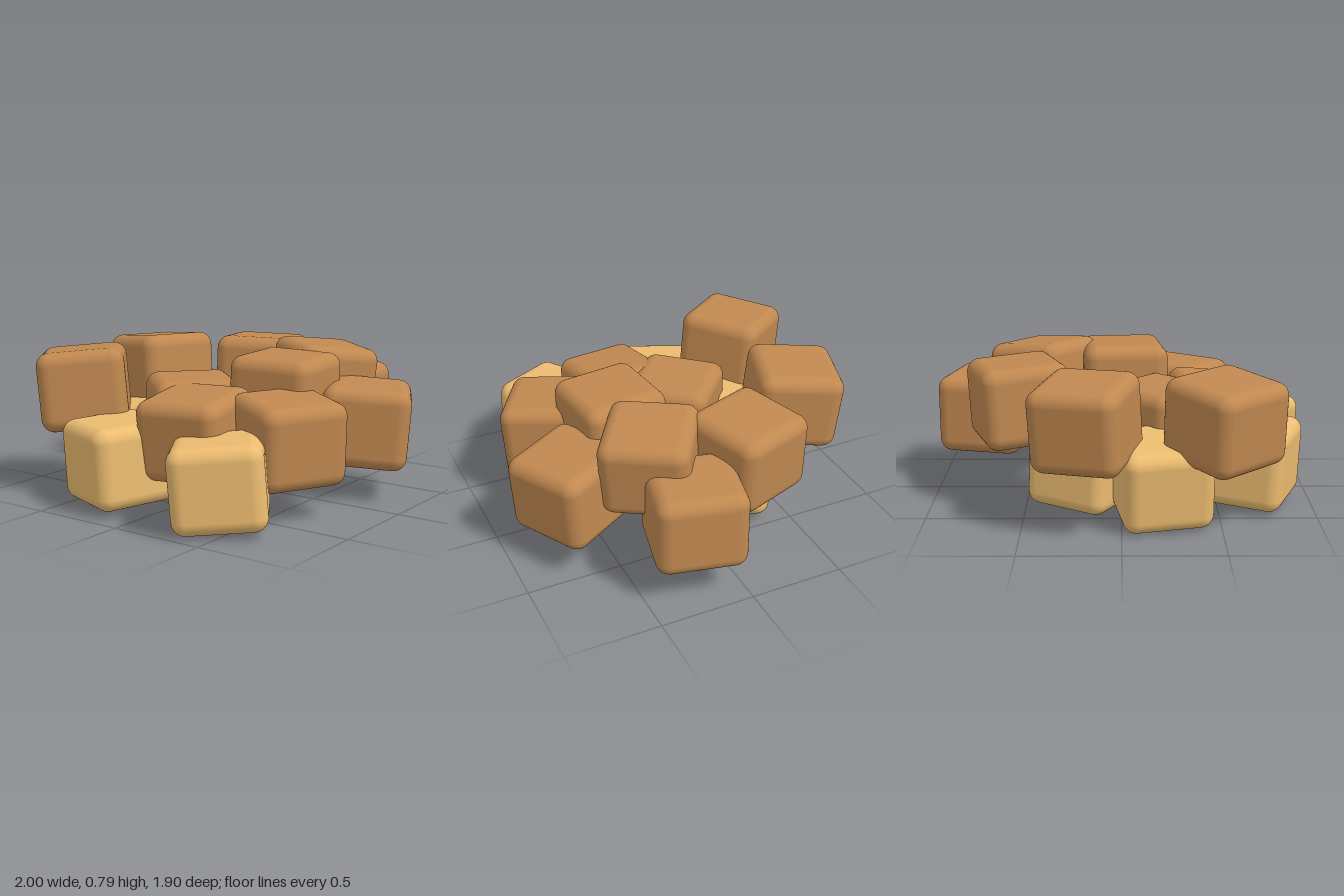
import * as THREE from 'three';
import { RoundedBoxGeometry } from 'three/addons/geometries/RoundedBoxGeometry.js';

// Each cube: x, y, z, yaw, pitch (about x), roll (about z), angles in degrees
const lowerCubes = [
  [-0.71, 0.24, 0.41, 33, -4, 2],
  [-0.67, 0.25, -0.25, -22, -2, 2],
  [-0.20, 0.24, -0.53, 11, -7, 0],
  [0.19, 0.24, -0.27, -29, 0, 2],
  [-0.06, 0.25, 0.03, 10, 0, -9],
];

const upperCubes = [
  // middle ring
  [0.735, 0.41, 0.20, -13, 0, 0],
  [0.25, 0.40, 0.66, 28, 4, -1],
  [-0.33, 0.40, 0.55, -30, 3, 3],
  [-0.50, 0.40, 0.11, 8, 0, 6],
  [-0.20, 0.42, -0.14, -42, 0, 0],
  // top layer
  [-0.505, 0.565, -0.64, 39, -5, 1],
  [0.175, 0.565, -0.66, -18, -5, -3],
  [0.535, 0.555, -0.19, 19, 0, -3],
  [-0.01, 0.555, 0.325, 6, 1, 0],
  [0.42, 0.565, 0.29, -34, 5, -4],
];

export function createModel() {
  const model = new THREE.Group();
  model.name = 'cubePile';
  const geometry = new RoundedBoxGeometry(0.46, 0.42, 0.46, 6, 0.07);

  const addLayer = (name, cubeName, color, cubes) => {
    const layer = new THREE.Group();
    layer.name = name;
    const material = new THREE.MeshStandardMaterial({ color });
    cubes.forEach(([x, y, z, yaw, pitch, roll], i) => {
      const cube = new THREE.Mesh(geometry, material);
      cube.name = `${cubeName}${i + 1}`;
      cube.position.set(x, y, z);
      // turn first, then lean
      const rad = THREE.MathUtils.degToRad;
      cube.rotation.set(rad(pitch), rad(yaw), rad(roll), 'XZY');
      layer.add(cube);
    });
    model.add(layer);
  };

  addLayer('lightCubes', 'lightCube', 0xecbc70, lowerCubes);
  addLayer('darkCubes', 'darkCube', 0xc08850, upperCubes);
  return model;
}
